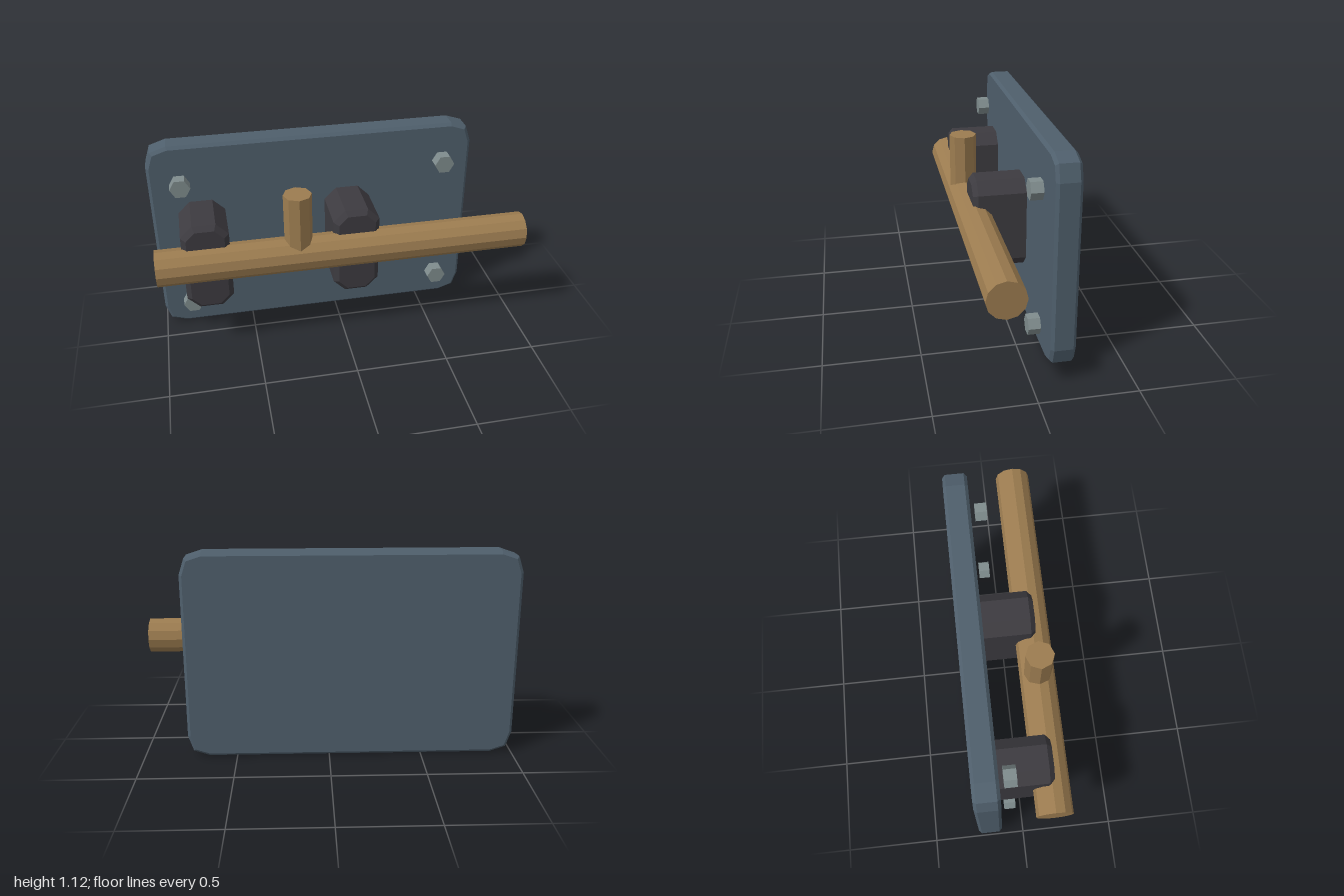
import * as THREE from 'three';

const material = (name, color) => {
  const m = new THREE.MeshStandardMaterial({ color, flatShading: true });
  m.name = name;
  return m;
};

// Upright slab with cut corners and bevelled rims, from z = back to z = front
function slab(w, h, back, front, corner, segments, bevel) {
  const x = w / 2, y = h / 2, r = corner;
  const s = new THREE.Shape();
  s.moveTo(-x + r, -y);
  s.lineTo(x - r, -y);
  s.quadraticCurveTo(x, -y, x, -y + r);
  s.lineTo(x, y - r);
  s.quadraticCurveTo(x, y, x - r, y);
  s.lineTo(-x + r, y);
  s.quadraticCurveTo(-x, y, -x, y - r);
  s.lineTo(-x, -y + r);
  s.quadraticCurveTo(-x, -y, -x + r, -y);
  const g = new THREE.ExtrudeGeometry(s, {
    depth: front - back - 2 * bevel, curveSegments: segments,
    bevelEnabled: true, bevelSegments: 1,
    bevelSize: bevel, bevelThickness: bevel, bevelOffset: -bevel,
  });
  return g.translate(0, 0, back + bevel);
}

export function createModel() {
  const group = new THREE.Group();
  group.name = 'slidingBolt';
  const steel = material('blueSteel', 0x4f5f6c);
  const iron = material('darkIron', 0x3d3b40);
  const brass = material('brass', 0x9c7c50);
  const zinc = material('zinc', 0x7f8c8d);

  const add = (name, geometry, mat, x, y, z) => {
    const mesh = new THREE.Mesh(geometry, mat);
    mesh.name = name;
    mesh.position.set(x, y, z);
    group.add(mesh);
  };

  // Back plate
  add('backPlate', slab(1.765, 1.12, -0.25, -0.12, 0.115, 2, 0.016), steel, -0.1175, 0.56, 0);

  // Two guide blocks that carry the rod
  const guide = slab(0.25, 0.508, -0.15, 0.165, 0.064, 1, 0.026);
  add('rightGuide', guide, iron, -0.735, 0.539, 0);
  add('leftGuide', guide, iron, 0.065, 0.539, 0);

  // Sliding rod and its upright handle
  add('rod', new THREE.CylinderGeometry(0.097, 0.097, 2, 12).rotateZ(Math.PI / 2), brass, 0, 0.571, 0.153);
  add('handle', new THREE.CylinderGeometry(0.075, 0.075, 0.36, 8), brass, -0.25, 0.75, 0.153);

  // Hexagonal screw heads at the plate corners
  const screw = new THREE.CylinderGeometry(0.054, 0.054, 0.064, 6).rotateY(Math.PI / 6).rotateX(Math.PI / 2);
  for (const x of [-0.835, 0.595])
    for (const y of [0.18, 0.919]) add('screwHead', screw, zinc, x, y, -0.064);

  return group;
}
